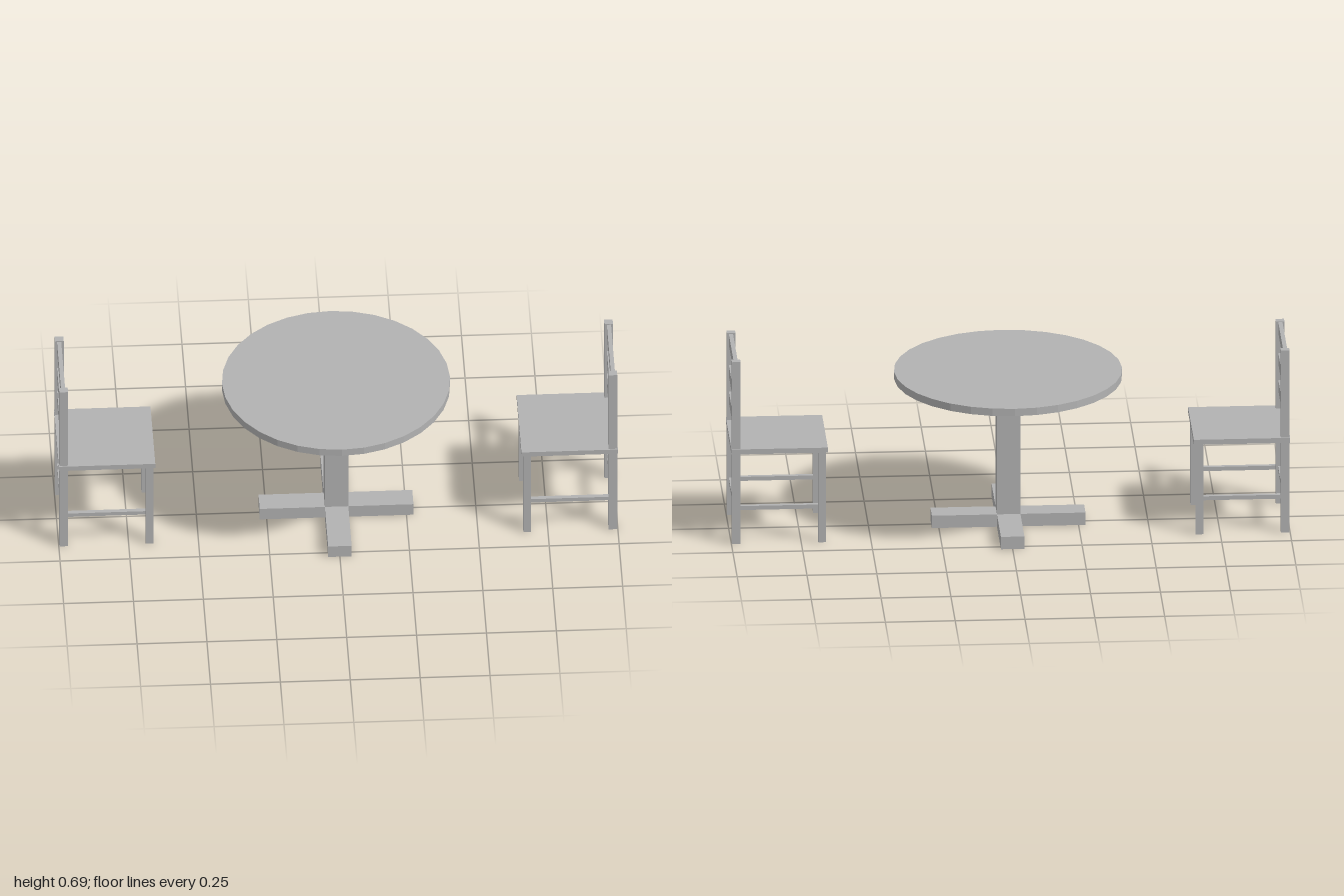
import * as THREE from 'three';

const wood = new THREE.MeshStandardMaterial({ color: 0xb2b2b2, flatShading: true });
wood.name = 'plain grey';

// Box given by its lower and upper bounds on each axis
function box(parent, name, [x0, x1], [y0, y1], [z0, z1]) {
  const mesh = new THREE.Mesh(new THREE.BoxGeometry(x1 - x0, y1 - y0, z1 - z0), wood);
  mesh.position.set((x0 + x1) / 2, (y0 + y1) / 2, (z0 + z1) / 2);
  mesh.name = name;
  parent.add(mesh);
}

function createTable() {
  const table = new THREE.Group();
  table.name = 'table';
  const top = new THREE.Mesh(new THREE.CylinderGeometry(0.408, 0.408, 0.028, 32), wood);
  top.position.y = 0.569;
  top.name = 'tableTop';
  table.add(top);
  box(table, 'column', [-0.042, 0.042], [0.047, 0.555], [-0.042, 0.042]);
  // Crossed feet: one full beam and two half beams butted against it
  box(table, 'footBeam', [-0.275, 0.275], [0, 0.047], [-0.042, 0.042]);
  box(table, 'frontFoot', [-0.042, 0.042], [0, 0.047], [0.042, 0.275]);
  box(table, 'backFoot', [-0.042, 0.042], [0, 0.047], [-0.275, -0.042]);
  return table;
}

// Chair with its back towards +x, facing the table
function createChair(name) {
  const chair = new THREE.Group();
  chair.name = name;
  box(chair, 'seat', [0.655, 1], [0.343, 0.362], [-0.169, 0.169]);
  for (const s of [-1, 1]) {
    const z = s < 0 ? [-0.164, -0.137] : [0.137, 0.164];
    box(chair, 'backPost', [0.967, 0.998], [0, 0.693], z);
    box(chair, 'frontLeg', [0.662, 0.689], [0, 0.343], z);
    box(chair, 'sideStretcher', [0.689, 0.967], [0.127, 0.142], [s * 0.15 - 0.008, s * 0.15 + 0.008]);
  }
  box(chair, 'backStretcher', [0.975, 0.991], [0.127, 0.142], [-0.137, 0.137]);
  // Ladder-back slats
  for (const y of [[0.429, 0.47], [0.53, 0.572], [0.648, 0.69]]) {
    box(chair, 'slat', [0.976, 0.991], y, [-0.137, 0.137]);
  }
  return chair;
}

export function createModel() {
  const model = new THREE.Group();
  model.name = 'diningSet';
  const leftChair = createChair('leftChair');
  const rightChair = createChair('rightChair');
  rightChair.rotation.y = Math.PI;
  model.add(createTable(), leftChair, rightChair);
  return model;
}
